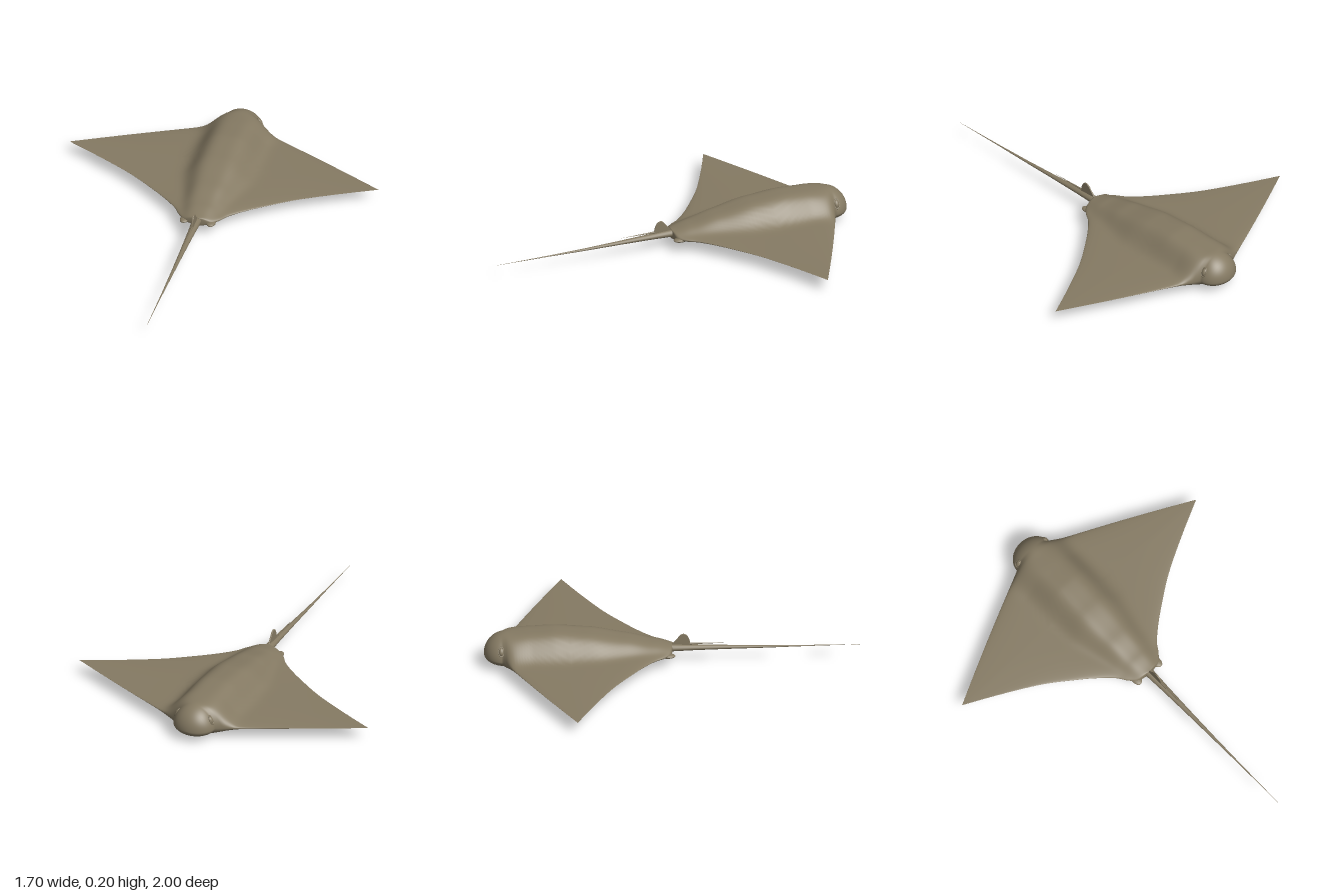
import * as THREE from 'three';

const V = (x, y, z) => new THREE.Vector3(x, y, z);
const MID = 0.072; // height of the wing plane

// Linear lookup in a short list of [z, value] pairs
function lookup(table, z) {
  for (let i = 1; i < table.length; i++) {
    const [z0, a] = table[i - 1], [z1, b] = table[i];
    if (z <= z1) return THREE.MathUtils.lerp(a, b, THREE.MathUtils.smoothstep(z, z0, z1) * 0.4 + 0.6 * Math.max(0, (z - z0) / (z1 - z0)));
  }
  return table[table.length - 1][1];
}

// Concave trailing edge of the wing, as a curve through (halfWidth, z)
const trailing = new THREE.SplineCurve([
  [0.85, -0.545], [0.66, -0.45], [0.46, -0.34], [0.31, -0.235], [0.22, -0.165],
  [0.15, -0.1], [0.115, -0.05], [0.075, -0.01], [0.03, 0.0],
].map(p => new THREE.Vector2(...p)));

const topHeight = [[-0.87, 0.122], [-0.75, 0.128], [-0.63, 0.133], [-0.45, 0.118], [-0.25, 0.083], [-0.1, 0.05], [0, 0.028]];
const bottomDepth = [[-0.87, 0.058], [-0.6, 0.072], [-0.4, 0.062], [-0.2, 0.045], [0, 0.022]];
const humpWidth = [[-0.9, 0.17], [-0.75, 0.145], [-0.4, 0.14], [-0.15, 0.1], [0, 0.07]];

// Stations [halfWidth, z] from the nose to the tail root
function stations() {
  const list = [];
  for (let i = 0; i < 14; i++) {
    const a = (i / 13) * Math.PI / 2;
    list.push([Math.max(0.001, 0.118 * Math.sin(a)), -0.9 - 0.1 * Math.cos(a)]);
  }
  for (let i = 1; i <= 24; i++) {
    const t = i / 24;
    list.push([0.118 + 0.732 * t + 0.012 * Math.sin(Math.PI * t), -0.9 + 0.355 * t]);
  }
  for (let i = 1; i <= 40; i++) {
    const p = trailing.getPoint(i / 40);
    list.push([p.x, p.y]);
  }
  return list;
}

// Head, humped back, belly and wings lofted as one skin
function bodyGeometry() {
  const N = 72, pos = [], index = [], rows = stations();
  for (const [w, z] of rows) {
    const nose = z < -0.87 ? Math.sqrt(Math.max(0, 1 - ((z + 0.87) / 0.13) ** 2)) : 1;
    const hw = lookup(humpWidth, z);
    for (let j = 0; j < 2 * N; j++) {
      const c = Math.cos(j / N * Math.PI);
      const s = Math.sign(c) * Math.abs(c) ** 1.5, x = w * s;
      const edge = Math.sqrt(Math.max(0, 1 - s * s));
      const wing = 0.022 * Math.max(0, 1 - Math.abs(x) / 0.86);
      const up = j <= N;
      const height = up ? lookup(topHeight, z) : lookup(bottomDepth, z);
      const hump = up ? Math.exp(-((Math.abs(x) / hw) ** 4)) : Math.exp(-((Math.abs(x) / (hw * 1.15)) ** 3));
      const h = (wing + (height - wing) * hump) * edge * nose;
      pos.push(x, MID + (up ? h : -h), z);
    }
  }
  const R = 2 * N;
  for (let i = 0; i < rows.length - 1; i++) {
    for (let j = 0; j < R; j++) {
      const k = (j + 1) % R, a = i * R + j, b = i * R + k;
      index.push(a, b, b + R, a, b + R, a + R);
    }
  }
  // Cap over the tail root
  const last = (rows.length - 1) * R;
  pos.push(0, MID, 0.004);
  for (let j = 0; j < R; j++) index.push(last + j, last + (j + 1) % R, pos.length / 3 - 1);
  const g = new THREE.BufferGeometry();
  g.setAttribute('position', new THREE.Float32BufferAttribute(pos, 3));
  g.setIndex(index);
  g.computeVertexNormals();
  return g;
}

// Tapered whip tail; the cone axis runs along z
function tailGeometry() {
  const profile = [[0.027, -0.06], [0.025, 0], [0.019, 0.12], [0.013, 0.3], [0.008, 0.5], [0.004, 0.7], [0.0015, 0.9], [0.0005, 1]]
    .map(p => new THREE.Vector2(...p));
  const g = new THREE.LatheGeometry(profile, 16);
  g.rotateX(Math.PI / 2);
  g.scale(1, 0.8, 1);
  const p = g.attributes.position;
  for (let i = 0; i < p.count; i++) {
    const z = p.getZ(i);
    p.setY(i, p.getY(i) + MID + 0.007 * Math.max(0, 1 - Math.abs(z) / 0.5));
  }
  g.computeVertexNormals();
  return g;
}

// Small upright fin, drawn in (z, y) and extruded across x
function dorsalGeometry() {
  const s = new THREE.Shape();
  s.moveTo(-0.02, 0.075);
  s.quadraticCurveTo(0.015, 0.11, 0.035, 0.137);
  s.quadraticCurveTo(0.058, 0.17, 0.08, 0.145);
  s.quadraticCurveTo(0.097, 0.12, 0.095, 0.08);
  s.closePath();
  const g = new THREE.ExtrudeGeometry(s, { depth: 0.004, bevelEnabled: true, bevelSize: 0.002, bevelThickness: 0.002, bevelSegments: 2, curveSegments: 10 });
  g.translate(0, 0, -0.002);
  g.rotateY(-Math.PI / 2);
  return g;
}

export function createModel() {
  const group = new THREE.Group();
  const skin = new THREE.MeshStandardMaterial({ color: 0x857a63 });
  skin.name = 'olive brown skin';

  const add = (name, geometry) => {
    const m = new THREE.Mesh(geometry, skin);
    m.name = name;
    group.add(m);
    return m;
  };

  add('body', bodyGeometry());
  add('tail', tailGeometry());
  add('dorsalFin', dorsalGeometry());

  // Thin spine lying above the tail
  const spine = add('tailSpine', new THREE.ConeGeometry(0.005, 0.2, 8));
  spine.rotation.x = Math.PI / 2;
  spine.position.set(0, 0.1, 0.19);

  for (const side of [1, -1]) {
    const label = side > 0 ? 'left' : 'right';

    // Rounded pelvic lobes beside the tail root
    const fin = add(label + 'PelvicFin', new THREE.SphereGeometry(1, 20, 12));
    fin.scale.set(0.027, 0.012, 0.045);
    fin.position.set(side * 0.07, 0.065, -0.03);
    fin.rotation.y = side * 0.15;

    // Eye bulge and its lid rim
    const eye = add(label + 'Eye', new THREE.SphereGeometry(1, 20, 14));
    eye.scale.set(0.012, 0.022, 0.014);
    eye.position.set(side * 0.097, 0.125, -0.912);
    eye.rotation.z = side * 0.5;
    const lid = add(label + 'Eyelid', new THREE.TorusGeometry(0.018, 0.003, 8, 28));
    lid.scale.set(0.8, 1.4, 1);
    lid.rotation.set(0, side * Math.PI / 2, side * 0.5, 'ZYX');
    lid.position.set(side * 0.1, 0.125, -0.912);
  }
  return group;
}
